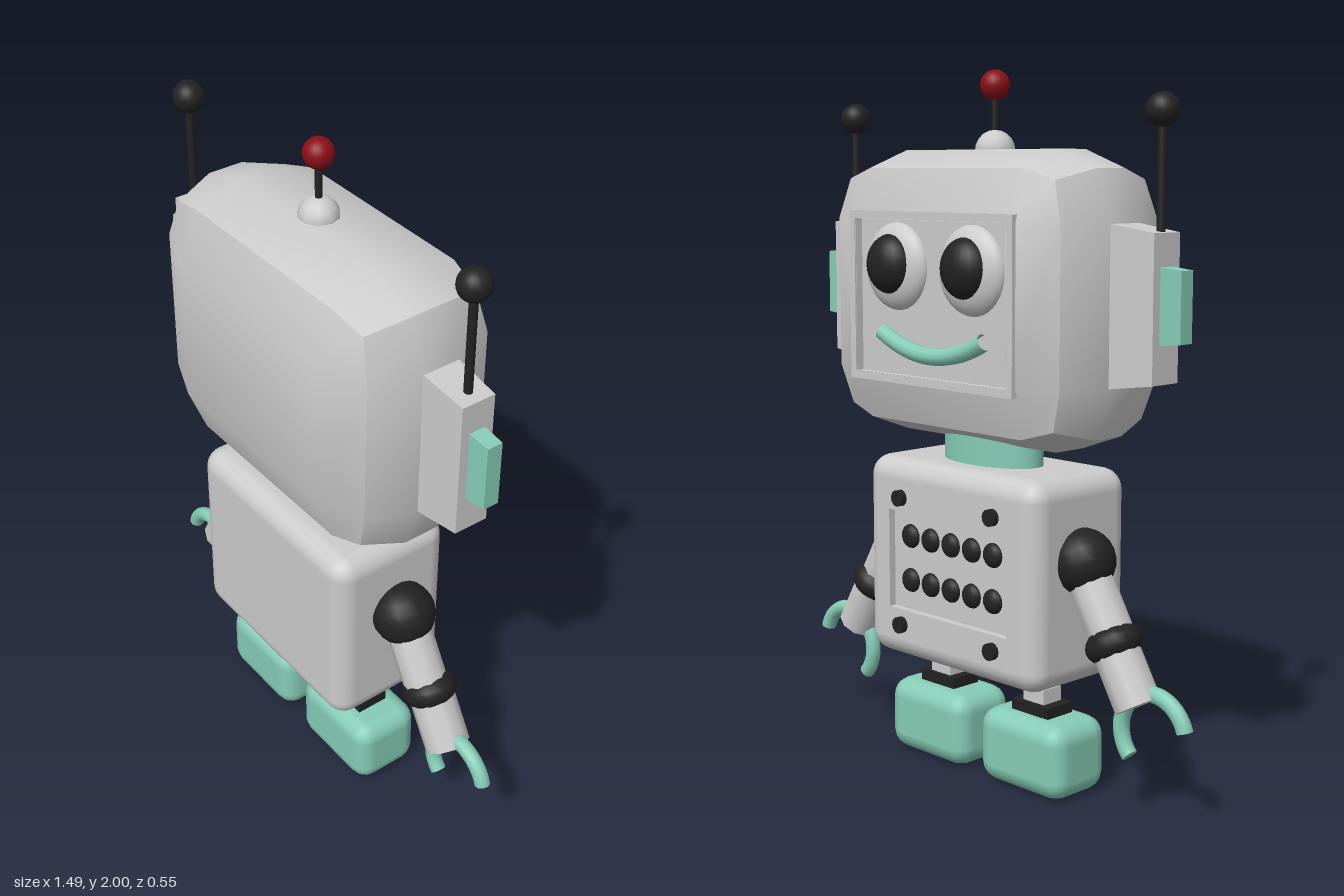
import * as THREE from 'three';
import { toCreasedNormals } from 'three/addons/utils/BufferGeometryUtils.js';
import { RoundedBoxGeometry } from 'three/addons/geometries/RoundedBoxGeometry.js';

const CX = -0.01, CZ = 0.028; // centre line of the robot; its face looks towards -z
const mat = (color) => new THREE.MeshStandardMaterial({ color });

export function createModel() {
  const grey = mat(0xcccccc), teal = mat(0x86ccb6), black = mat(0x222222), red = mat(0x8a0f18);
  const tealOpen = teal.clone();
  tealOpen.side = THREE.DoubleSide;
  const robot = new THREE.Group();
  robot.name = 'robot';

  const add = (name, geo, material, x = 0, y = 0, z = 0, parent = robot) => {
    const m = new THREE.Mesh(geo, material);
    m.name = name;
    m.position.set(x, y, z);
    parent.add(m);
    return m;
  };
  const box = (w, h, d) => new THREE.BoxGeometry(w, h, d);
  const ball = (r, w = 20, h = 14) => new THREE.SphereGeometry(r, w, h);
  const rod = (r, h, n = 12) => new THREE.CylinderGeometry(r, r, h, n);

  // drops the flat face at the lowest z so a recessed panel can sit there
  const openFront = (geo) => {
    const g = geo.index ? geo.toNonIndexed() : geo;
    const p = g.attributes.position, n = g.attributes.normal;
    let min = Infinity;
    for (let i = 0; i < p.count; i++) min = Math.min(min, p.getZ(i));
    const pos = [], nor = [];
    for (let i = 0; i < p.count; i += 3) {
      if ([0, 1, 2].every((k) => p.getZ(i + k) < min + 1e-4)) continue;
      for (let k = 0; k < 3; k++) {
        pos.push(p.getX(i + k), p.getY(i + k), p.getZ(i + k));
        nor.push(n.getX(i + k), n.getY(i + k), n.getZ(i + k));
      }
    }
    const out = new THREE.BufferGeometry();
    out.setAttribute('position', new THREE.Float32BufferAttribute(pos, 3));
    out.setAttribute('normal', new THREE.Float32BufferAttribute(nor, 3));
    return out;
  };

  // rectangular plate with a rectangular hole (half sizes)
  const frame = (w, h, hw, hh, depth) => {
    const rect = (C, a, b) => new C([[-a, -b], [a, -b], [a, b], [-a, b]].map(([x, y]) => new THREE.Vector2(x, y)));
    const s = rect(THREE.Shape, w, h);
    s.holes.push(rect(THREE.Path, hw, hh));
    return new THREE.ExtrudeGeometry(s, { depth, bevelEnabled: false });
  };

  // head: a 3x3x3 box whose faces bulge and whose edges and corners are pulled in
  const headGeo = new THREE.BoxGeometry(2, 2, 2, 3, 3, 3);
  const hp = headGeo.attributes.position;
  const inner = [0.3, 0.215, 0.053];
  const outer = [null, [0.49, 0.405, 0.246], [0.44, 0.355, 0.19], [0.405, 0.325, 0.175]];
  for (let i = 0; i < hp.count; i++) {
    const v = [hp.getX(i), hp.getY(i), hp.getZ(i)];
    const isOuter = v.map((c) => Math.abs(c) > 0.9);
    const k = isOuter.filter(Boolean).length;
    hp.setXYZ(i, ...v.map((c, a) => Math.sign(c) * (isOuter[a] ? outer[k][a] : inner[a])));
  }
  const HY = 1.38;
  add('head', toCreasedNormals(openFront(headGeo), 0.55), grey, 0, HY, CZ);
  add('screenFrame', frame(0.325, 0.238, 0.303, 0.216, 0.05), grey, 0, HY, -0.22);
  add('screen', box(0.62, 0.45, 0.02), grey, 0, HY, -0.183);

  // eyes and smile
  for (const s of [-1, 1]) {
    add('eye', ball(1, 28, 18), grey, s * 0.15, 1.465, -0.19).scale.set(0.122, 0.122, 0.052);
    add('pupil', ball(1, 24, 16), black, s * 0.15, 1.472, -0.215).scale.set(0.08, 0.084, 0.062);
  }
  const smile = new THREE.QuadraticBezierCurve3(
    new THREE.Vector3(-0.205, 1.28, -0.203), new THREE.Vector3(0, 1.17, -0.203), new THREE.Vector3(0.205, 1.28, -0.203));
  add('mouth', new THREE.TubeGeometry(smile, 16, 0.024, 10), tealOpen);

  // top light
  add('lightBase', new THREE.SphereGeometry(0.057, 10, 5, 0, Math.PI * 2, 0, Math.PI / 2), grey, CX, 1.782, CZ);
  add('lightStem', rod(0.01, 0.12), black, CX, 1.89, CZ);
  add('lightBulb', ball(0.042), red, CX, 1.96, CZ);

  // ears: tapered boxes, with a cap and an antenna
  const taper = (w, h, d, f) => {
    const g = box(w, h, d), p = g.attributes.position;
    for (let i = 0; i < p.count; i++) if (p.getX(i) > 0) p.setXYZ(i, p.getX(i), p.getY(i) * f, p.getZ(i) * f);
    g.computeVertexNormals();
    return g;
  };
  for (const s of [-1, 1]) {
    const ear = new THREE.Group();
    ear.name = s > 0 ? 'leftEar' : 'rightEar';
    ear.position.set(0, HY, CZ);
    if (s < 0) ear.rotation.y = Math.PI;
    robot.add(ear);
    add('earBlock', taper(0.17, 0.435, 0.114, 0.89), grey, 0.546, 0, 0, ear);
    add('earCap', taper(0.08, 0.202, 0.05, 0.92), teal, 0.658, 0.008, 0, ear);
    add('antennaRod', rod(0.012, 0.34), black, CX + s * 0.6, 1.72, CZ);
    add('antennaTip', ball(0.045), black, CX + s * 0.6, 1.88, CZ);
  }

  // neck
  add('neck', rod(1, 0.14, 32), teal, CX, 0.95, CZ - 0.005).scale.set(0.175, 1, 0.098);

  // body with a recessed button panel
  const BY = 0.618, PY = 0.625;
  add('body', openFront(new RoundedBoxGeometry(0.694, 0.589, 0.381, 3, 0.06)), grey, CX, BY, 0.0265);
  add('bodyPlate', frame(0.287, 0.2345, 0.24, 0.145, 0.03), grey, CX, BY, -0.164);
  add('buttonPanel', box(0.5, 0.31, 0.02), grey, CX, BY, -0.132);
  for (let i = 0; i < 5; i++)
    for (const r of [-1, 1])
      add('button', ball(1, 14, 10), black, CX + (i - 2) * 0.084, PY + r * 0.065, -0.142).scale.set(0.035, 0.035, 0.022);
  for (const sx of [-1, 1])
    for (const sy of [-1, 1])
      add('bolt', rod(0.024, 0.03, 12), black, CX + sx * 0.187, 0.615 + sy * 0.187, -0.167).rotation.x = Math.PI / 2;

  // claw: an open ring, its gap facing down, with closed ends
  const clawSpan = 3.6, clawR = 0.112, clawT = 0.023;
  const clawStart = Math.PI / 2 - clawSpan / 2;
  const makeClaw = (parent, z) => {
    const ring = new THREE.TorusGeometry(clawR, clawT, 10, 20, clawSpan).rotateZ(clawStart);
    add('claw', ring, teal, 0, -0.5, z, parent);
    for (const a of [clawStart, clawStart + clawSpan]) {
      const cap = new THREE.CircleGeometry(clawT, 10).rotateX(Math.PI / 2).translate(clawR, 0, 0).rotateZ(a);
      add('clawEnd', cap, tealOpen, 0, -0.5, z, parent);
    }
  };

  for (const s of [-1, 1]) {
    // arm hangs down its own -y axis and swings outwards
    const arm = new THREE.Group();
    arm.name = s > 0 ? 'leftArm' : 'rightArm';
    arm.position.set(s * 0.365, 0.68, 0.015);
    arm.rotation.z = s * 0.53;
    robot.add(arm);
    add('shoulder', ball(0.092, 18, 12), black, 0, 0, 0, arm);
    add('upperArm', rod(0.064, 0.24, 10), grey, 0, -0.12, 0, arm);
    add('elbow', ball(1, 18, 12), black, 0, -0.238, -0.005, arm).scale.set(0.082, 0.055, 0.08);
    add('forearm', rod(0.066, 0.18, 10), grey, 0, -0.325, -0.006, arm);
    makeClaw(arm, s > 0 ? -0.012 : 0.006);

    // leg and foot
    const leg = new THREE.Group();
    leg.name = s > 0 ? 'leftLeg' : 'rightLeg';
    leg.position.set(CX + s * 0.192, 0, CZ);
    robot.add(leg);
    add('foot', new RoundedBoxGeometry(0.322, 0.216, 0.217, 2, 0.055), teal, 0, 0.108, 0, leg);
    add('anklePlate', box(0.14, 0.035, 0.1), black, 0, 0.23, 0, leg);
    add('ankle', box(0.08, 0.045, 0.07), grey, 0, 0.267, 0, leg);
    add('legRod', rod(0.022, 0.08), black, 0, 0.31, 0, leg);
  }
  return robot;
}
